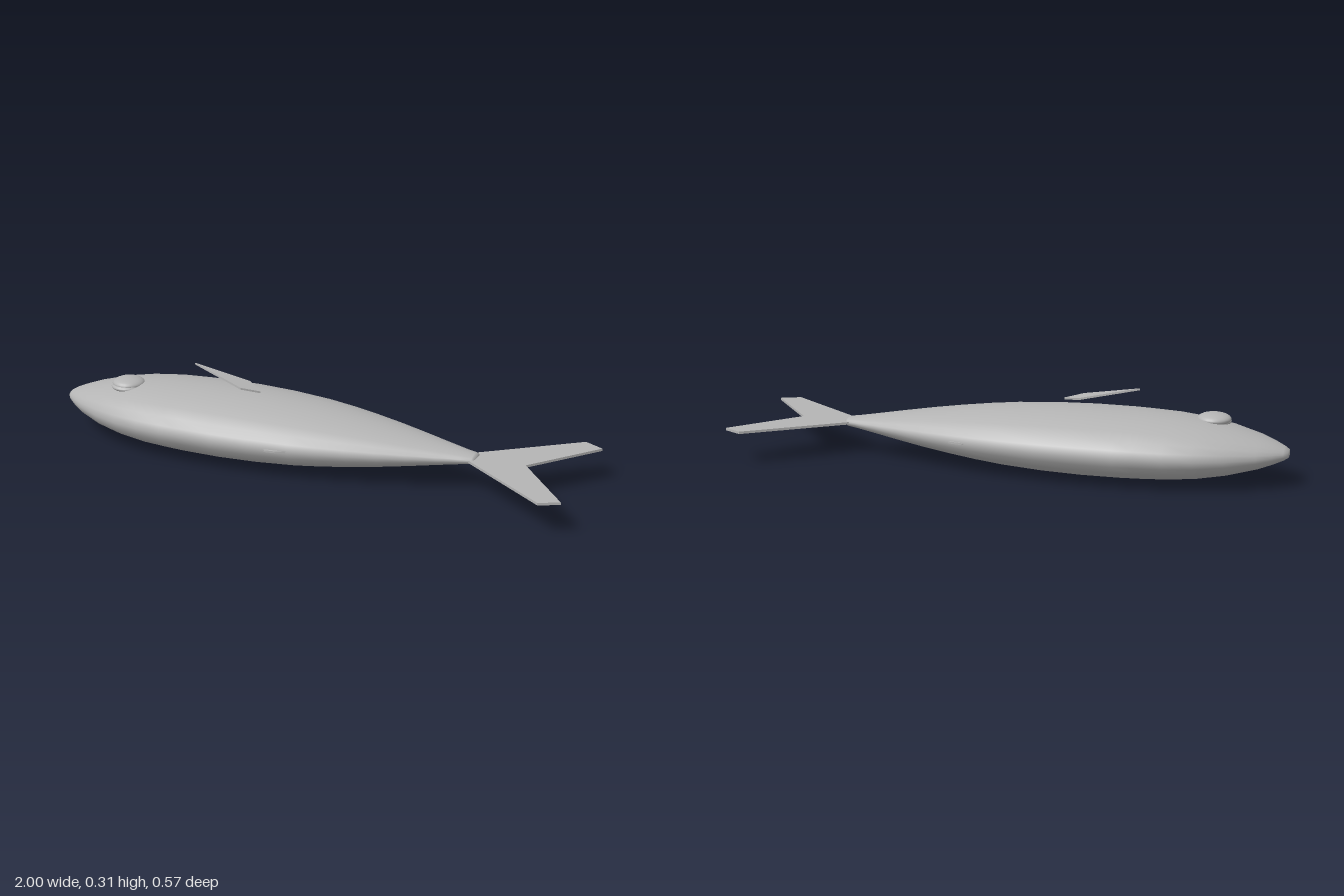
import * as THREE from 'three';

const MID = 0.117; // height of the body axis
const SIDES = 24;

// Flat plate from [x, z] points, lying horizontally with its middle at y = 0
function plate(points, thickness, material, name) {
  const shape = new THREE.Shape(points.map(([x, z]) => new THREE.Vector2(x, -z)));
  const geometry = new THREE.ExtrudeGeometry(shape, { depth: thickness, bevelEnabled: false });
  geometry.translate(0, 0, -thickness / 2);
  geometry.rotateX(-Math.PI / 2);
  const mesh = new THREE.Mesh(geometry, material);
  mesh.name = name;
  return mesh;
}

// Elliptical rings along x, with a small opening on the underside
function bodyGeometry() {
  const profile = [
    [-1, 0], [-1, 0.03], [-0.985, 0.05], [-0.95, 0.083], [-0.9, 0.122], [-0.8, 0.178],
    [-0.7, 0.215], [-0.6, 0.236], [-0.5, 0.245], [-0.43, 0.249], [-0.29, 0.25], [-0.15, 0.242],
    [0, 0.223], [0.1, 0.202], [0.2, 0.176], [0.3, 0.146], [0.4, 0.112], [0.5, 0.076],
    [0.58, 0.048], [0.615, 0.038], [0.625, 0.028], [0.625, 0]
  ];
  const positions = [], indices = [];
  for (const [x, r] of profile) {
    for (let j = 0; j < SIDES; j++) {
      const a = (j / SIDES) * Math.PI * 2;
      positions.push(x, MID - 0.456 * r * Math.cos(a), r * Math.sin(a));
    }
  }
  for (let i = 0; i < profile.length - 1; i++) {
    const x = profile[i][0];
    for (let j = 0; j < SIDES; j++) {
      const underside = j === 0 || j === SIDES - 1;
      if (underside && x > -0.44 && x < -0.16) continue;
      const k = (j + 1) % SIDES;
      const a = i * SIDES + j, b = i * SIDES + k;
      const c = a + SIDES, d = b + SIDES;
      indices.push(a, c, b, b, c, d);
    }
  }
  const geometry = new THREE.BufferGeometry();
  geometry.setAttribute('position', new THREE.Float32BufferAttribute(positions, 3));
  geometry.setIndex(indices);
  geometry.computeVertexNormals();
  return geometry;
}

export function createModel() {
  const group = new THREE.Group();
  group.name = 'fish';
  const grey = new THREE.MeshStandardMaterial({ color: 0xb4b4b4, side: THREE.DoubleSide });
  grey.name = 'grey';

  const body = new THREE.Mesh(bodyGeometry(), grey);
  body.name = 'body';
  group.add(body);

  // Forked tail, very slightly rolled
  const tail = plate([
    [0.6, -0.035], [0.93, -0.288], [1, -0.25], [0.8, 0], [1, 0.25], [0.93, 0.283], [0.6, 0.035]
  ], 0.009, grey, 'tailFin');
  tail.position.y = MID;
  tail.rotation.x = 0.012;
  group.add(tail);

  // Eye and the rim it sits in
  const ball = new THREE.SphereGeometry(0.06, 24, 16);
  [['eye', 0.212, 0.042, 0.37], ['eyeRim', 0.203, 0.05, 0.3]].forEach(([name, y, z, flat]) => {
    const mesh = new THREE.Mesh(ball, grey);
    mesh.name = name;
    mesh.scale.y = flat;
    mesh.position.set(-0.73, y, z);
    group.add(mesh);
  });

  // Upper side fin, raised toward the head
  const finPoints = [[-0.145, 0], [0.075, -0.018], [0.142, 0.032], [0.075, 0.062]];
  const upperFin = plate(finPoints, 0.007, grey, 'upperSideFin');
  upperFin.rotation.z = -0.21;
  upperFin.position.set(-0.33, 0.279, 0);
  group.add(upperFin);

  // Lower side fin, its tip showing through the belly
  const lowerFin = plate(finPoints, 0.007, grey, 'lowerSideFin');
  lowerFin.rotation.z = -0.21;
  lowerFin.position.set(-0.2, 0.036, 0);
  group.add(lowerFin);

  // Edge fins, mostly sunk into the body
  const bellyFin = plate([[-0.1, 0.18], [-0.08, 0.241], [-0.04, 0.236], [0.14, 0.17]], 0.007, grey, 'bellyFin');
  const backFin = plate([[0, -0.15], [0.12, -0.2], [0.17, -0.19], [0.2, -0.15]], 0.007, grey, 'backFin');
  for (const fin of [bellyFin, backFin]) {
    fin.position.y = MID;
    group.add(fin);
  }
  return group;
}
